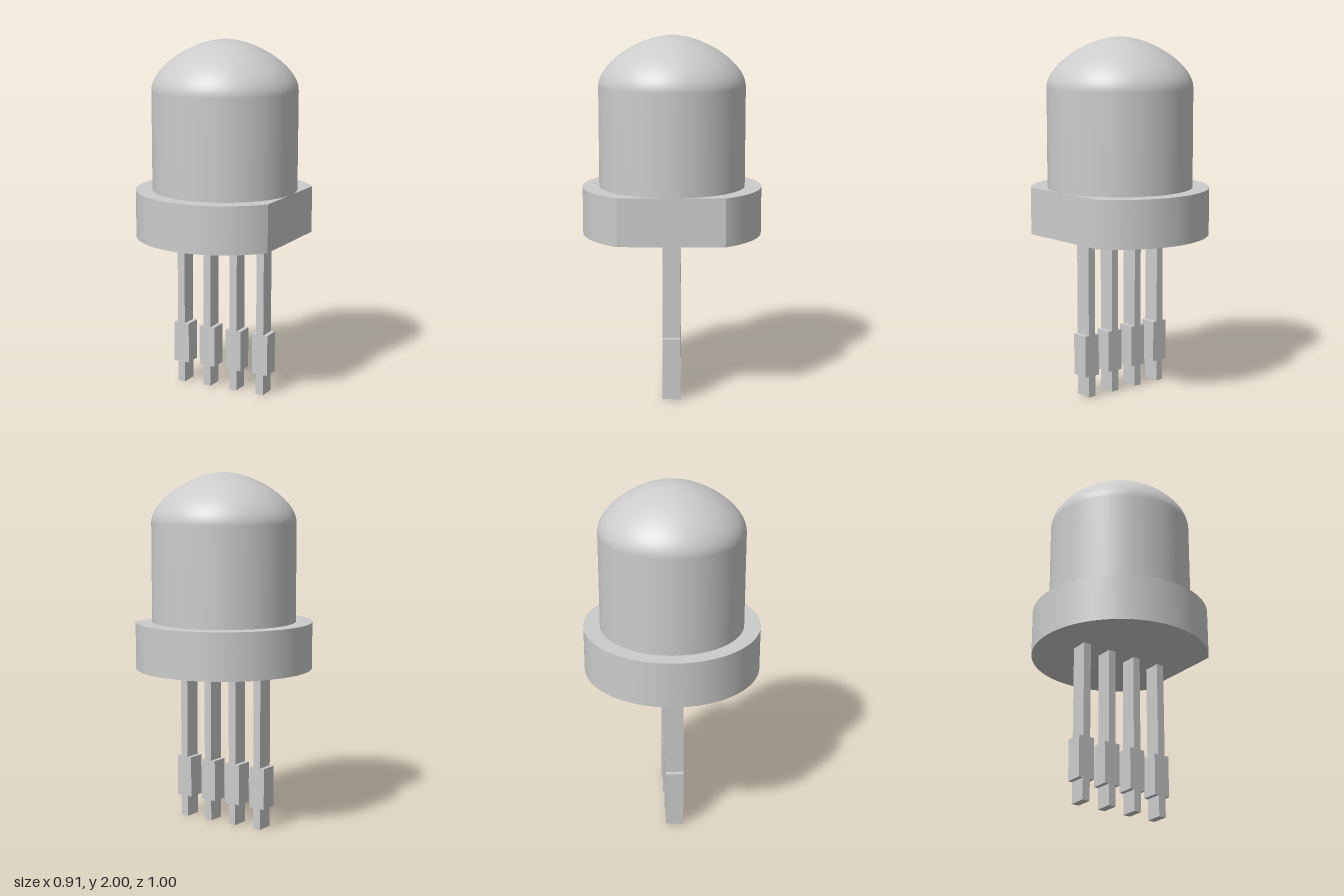
import * as THREE from 'three';
import { toCreasedNormals } from 'three/addons/utils/BufferGeometryUtils.js';

const AXIS_X = 0.046; // lens axis, offset by the cut in the flange
const material = new THREE.MeshStandardMaterial({ color: 0xcccccc });

function addMesh(group, geometry, name) {
  const mesh = new THREE.Mesh(geometry, material);
  mesh.name = name;
  group.add(mesh);
  return mesh;
}

// Straight barrel running smoothly into a rounded cap
function lensGeometry() {
  const r = 0.407;
  const cap = new THREE.CubicBezierCurve(
    new THREE.Vector2(r, 1.72), new THREE.Vector2(r, 1.85),
    new THREE.Vector2(0.17, 2), new THREE.Vector2(0, 2));
  return new THREE.LatheGeometry([new THREE.Vector2(r, 1.16), ...cap.getPoints(24)], 96);
}

// Disc with one flat side towards +x
function flangeGeometry() {
  const r = 0.5, flat = 0.407;
  const a = Math.acos(flat / r);
  const shape = new THREE.Shape();
  shape.absarc(0, 0, r, a, Math.PI * 2 - a, false);
  shape.closePath();
  const geometry = new THREE.ExtrudeGeometry(shape, { depth: 0.265, bevelEnabled: false, curveSegments: 72 });
  geometry.rotateX(-Math.PI / 2);
  return toCreasedNormals(geometry, 0.4);
}

// Flat pin with a wider shoulder near the tip
function leadGeometry() {
  const thin = 0.0225, wide = 0.048, depth = 0.1;
  const right = [[thin, 0], [thin, 0.12], [wide, 0.12], [wide, 0.355], [thin, 0.355], [thin, 0.9]];
  const left = right.map(([x, y]) => [-x, y]).reverse();
  const shape = new THREE.Shape([...right, ...left].map(([x, y]) => new THREE.Vector2(x, y)));
  const geometry = new THREE.ExtrudeGeometry(shape, { depth, bevelEnabled: false });
  geometry.translate(0, 0, -depth / 2);
  return geometry;
}

export function createModel() {
  const model = new THREE.Group();
  model.name = 'lamp';

  addMesh(model, lensGeometry(), 'lens').position.x = AXIS_X;
  addMesh(model, flangeGeometry(), 'flange').position.set(AXIS_X, 0.9, 0);

  // Four leads in a row
  const lead = leadGeometry();
  for (let i = 0; i < 4; i++) {
    addMesh(model, lead, `lead${i + 1}`).position.x = -0.212 + i * 0.1685;
  }
  return model;
}
